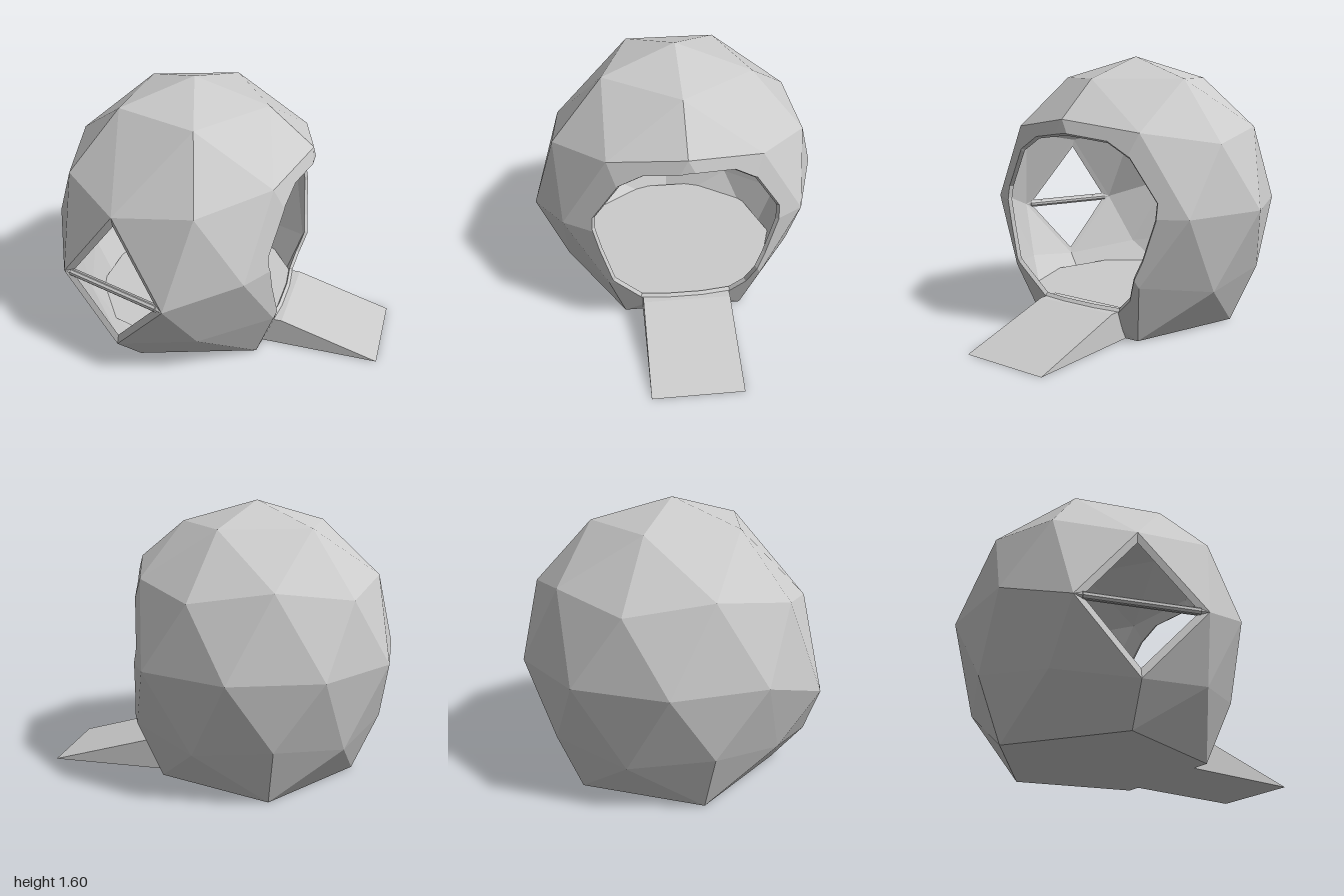
import * as THREE from 'three';

const CENTRE = new THREE.Vector3(-0.2, 0.735, -0.015);
const R = 0.86, THICKNESS = 0.97;
const V = (x, y, z) => new THREE.Vector3(x, y, z);
const material = new THREE.MeshStandardMaterial({ color: 0xcccccc, flatShading: true, side: THREE.DoubleSide });

// Doorway outline as [z, y], convex
const DOOR = [[0.25, 0.175], [0.41, 0.37], [0.48, 0.6], [0.515, 0.75], [0.51, 0.82], [0.36, 1.06], [0.22, 1.14],
  [-0.04, 1.175], [-0.28, 1.14], [-0.41, 1.06], [-0.56, 0.82], [-0.56, 0.73], [-0.49, 0.5], [-0.39, 0.26], [-0.3, 0.175]];

// Point on the inner skin behind an outer point
const inward = (p, s = THICKNESS) => p.clone().sub(CENTRE).multiplyScalar(s).add(CENTRE);

// Vertex from its angle below the top and its angle round the dome
function spherePoint(polar, azimuth, radius = R) {
  const p = THREE.MathUtils.degToRad(polar), a = THREE.MathUtils.degToRad(azimuth);
  return V(0.97 * Math.sin(p) * Math.cos(a), Math.cos(p), Math.sin(p) * Math.sin(a)).multiplyScalar(radius).add(CENTRE);
}

function polygonsToMesh(name, polygons) {
  const points = [];
  for (const poly of polygons) {
    for (let i = 1; i < poly.length - 1; i++) points.push(poly[0], poly[i], poly[i + 1]);
  }
  const geometry = new THREE.BufferGeometry().setFromPoints(points);
  geometry.computeVertexNormals();
  const mesh = new THREE.Mesh(geometry, material);
  mesh.name = name;
  return mesh;
}

// Facets of the geodesic dome, plus the two window triangles
function domeFacets() {
  const ring = (n, polar, start) => Array.from({ length: n }, (_, i) => spherePoint(polar, start + i * 360 / n));
  const top = spherePoint(0, 0);
  const A = ring(5, 31.7, 0), B = ring(5, 63.4, 0), C = ring(5, 58.3, 36);
  const E = ring(10, 90, 18), F = ring(5, 116.6, 36), G = ring(5, 121.7, 72);
  const H = ring(5, 90, 36).map(p => {
    const q = inward(p, 0.715);
    q.y = 0;
    return q;
  });
  // Vertices shifted around the window and the doorway
  C[1].set(-0.44, 1.04, 0.7);
  E[2].set(-0.11, 0.6, 0.865);
  E[3].set(-0.79, 0.59, 0.65);
  F[1].set(-0.45, 0.2, 0.74);
  B[0].set(0.5, 1.25, -0.015);
  E[0].x = E[9].x = 0.55;
  G[4].set(0.42, 0.25, -0.015);

  const facets = [];
  for (let k = 0; k < 5; k++) {
    const n = (k + 1) % 5, e = E[2 * k], f = E[2 * k + 1], g = E[(2 * k + 2) % 10];
    facets.push(
      [top, A[k], A[n]], [A[k], B[k], C[k]], [A[k], C[k], A[n]], [A[n], C[k], B[n]],
      [B[k], e, C[k]], [C[k], e, f], [C[k], f, B[n]], [e, F[k], f],
      [B[n], f, g], [f, F[k], G[k]], [f, G[k], g], [g, G[k], F[n]],
      [F[k], H[k], G[k]], [G[k], H[k], H[n]], [G[k], H[n], F[n]]);
  }
  facets.push(H);
  // Make every facet face outward
  for (const t of facets) {
    const normal = t[1].clone().sub(t[0]).cross(t[2].clone().sub(t[0]));
    if (normal.dot(t[0].clone().sub(CENTRE)) < 0) t.reverse();
  }
  const isWindow = t => t.includes(E[2]) && t.includes(E[3]);
  return {
    walls: facets.filter(t => !isWindow(t)), windows: facets.filter(isWindow),
    barEnds: [E[3], E[2]],
  };
}

// Part of a polygon on one side of a doorway edge
function clip(poly, side, sign) {
  const out = [];
  poly.forEach((p, i) => {
    const q = poly[(i + 1) % poly.length], a = side(p) * sign, b = side(q) * sign;
    if (a >= 0) out.push(p);
    if (a * b < 0) out.push(p.clone().lerp(q, a / (a - b)));
  });
  return out;
}

// Remove the doorway from a facet; collect the pieces left and the rim edges
function cutDoor(facet, pieces, rim) {
  if (facet.reduce((s, p) => s + p.x, 0) < 0 || facet.length > 3) {
    pieces.push(facet);
    return;
  }
  const sides = DOOR.map(([z, y], i) => {
    const [z2, y2] = DOOR[(i + 1) % DOOR.length];
    return p => (z2 - z) * (p.y - y) - (y2 - y) * (p.z - z);
  });
  let rest = facet;
  const cut = [];
  for (const side of sides) {
    const outside = clip(rest, side, -1);
    if (outside.length > 2) cut.push(outside);
    rest = clip(rest, side, 1);
    if (rest.length < 3) break;
  }
  if (rest.length < 3) {
    pieces.push(facet);
    return;
  }
  pieces.push(...cut);
  rest.forEach((p, i) => {
    const q = rest[(i + 1) % rest.length];
    if (sides.some(s => Math.abs(s(p)) < 1e-6 && Math.abs(s(q)) < 1e-6)) rim.push([p, q, inward(q), inward(p)]);
  });
}

export function createModel() {
  const model = new THREE.Group();
  const { walls, windows, barEnds } = domeFacets();

  // Dome skins and doorway rim
  const outer = [], rim = [];
  walls.forEach(f => cutDoor(f, outer, rim));
  const inner = outer.map(poly => poly.map(p => inward(p)).reverse());
  model.add(polygonsToMesh('outerDome', outer), polygonsToMesh('innerDome', inner), polygonsToMesh('doorRim', rim));

  // Bevelled window frames around open triangles
  windows.forEach((tri, w) => {
    const middle = tri[0].clone().add(tri[1]).add(tri[2]).divideScalar(3);
    const opening = tri.map(p => inward(p.clone().lerp(middle, 0.18), 0.98));
    const frame = [];
    tri.forEach((p, i) => {
      const j = (i + 1) % 3;
      frame.push([p, tri[j], opening[j], opening[i]]);
      frame.push([inward(tri[j]), inward(p), opening[i], opening[j]]);
    });
    model.add(polygonsToMesh(w ? 'lowerWindowFrame' : 'upperWindowFrame', frame));
  });

  // Bar between the two windows
  const [a, b] = barEnds.map((p, i, ends) => inward(p.clone().lerp(ends[1 - i], 0.06), 0.985));
  const bar = new THREE.Mesh(new THREE.CylinderGeometry(0.02, 0.02, a.distanceTo(b), 8), material);
  bar.name = 'windowBar';
  bar.position.copy(a).add(b).multiplyScalar(0.5);
  bar.quaternion.setFromUnitVectors(V(0, 1, 0), b.clone().sub(a).normalize());
  model.add(bar);

  // Raised floor inside
  const floor = new THREE.Mesh(new THREE.CircleGeometry(0.63, 10, Math.PI / 10), material);
  floor.name = 'floor';
  floor.rotation.x = -Math.PI / 2;
  floor.position.set(CENTRE.x, 0.172, CENTRE.z);
  model.add(floor);

  // Entrance ramp
  const profile = new THREE.Shape([[0.28, 0], [1, 0], [0.41, 0.175], [0.28, 0.175]].map(p => new THREE.Vector2(...p)));
  const ramp = new THREE.Mesh(new THREE.ExtrudeGeometry(profile, { depth: 0.53, bevelEnabled: false }), material);
  ramp.name = 'ramp';
  ramp.position.z = -0.292;
  model.add(ramp);

  return model;
}
